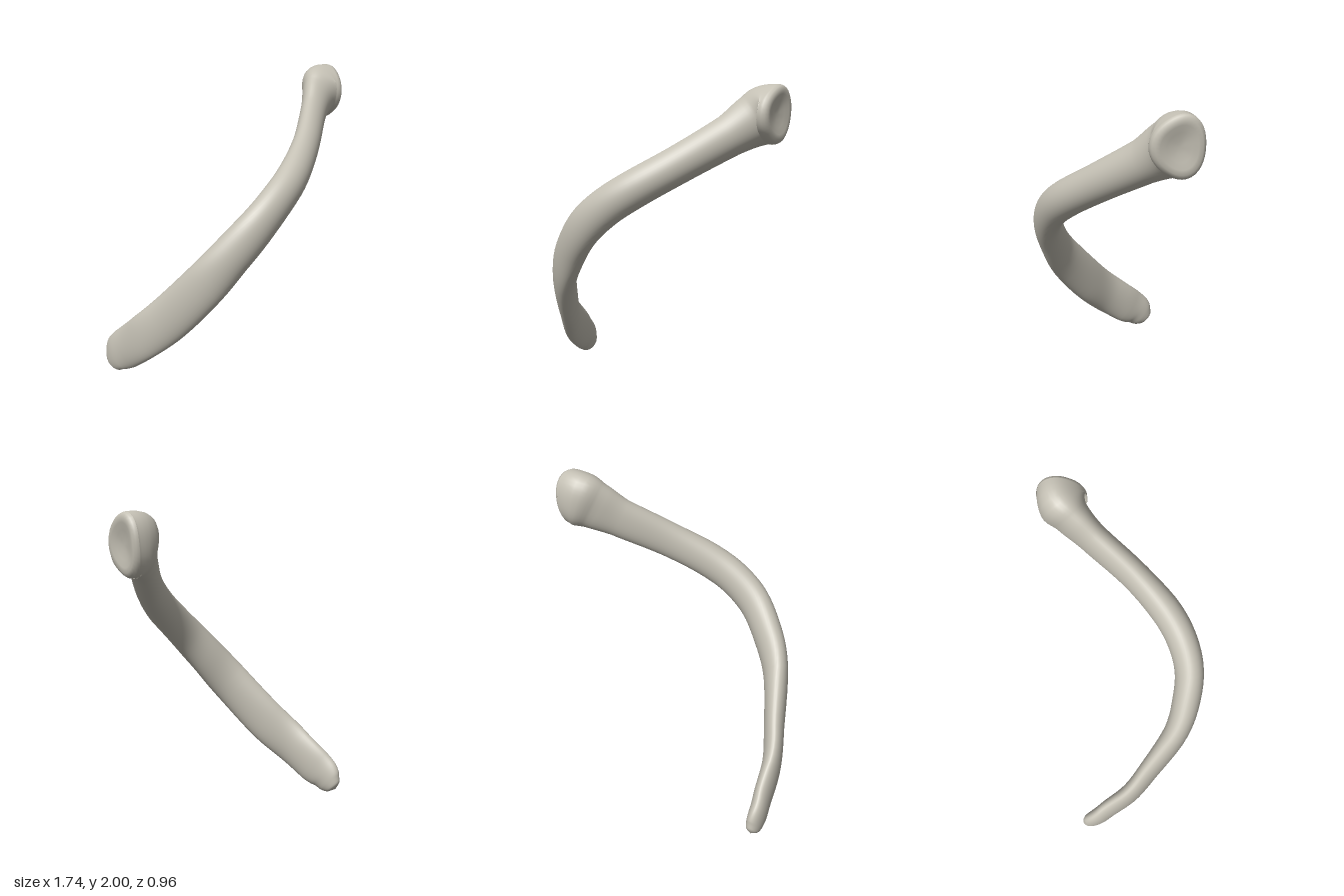
import * as THREE from 'three';
import { mergeVertices } from 'three/addons/utils/BufferGeometryUtils.js';

// Stations along the bone: centre x, y, z, half depth, half height
const STATIONS = [
  [-0.842, 0.035, -0.370, 0, 0],
  [-0.838, 0.050, -0.355, 0.038, 0.062],
  [-0.830, 0.080, -0.322, 0.050, 0.100],
  [-0.815, 0.130, -0.275, 0.056, 0.125],
  [-0.780, 0.190, -0.200, 0.058, 0.140],
  [-0.705, 0.325, -0.040, 0.062, 0.146],
  [-0.590, 0.480, 0.100, 0.067, 0.150],
  [-0.400, 0.770, 0.300, 0.083, 0.142],
  [-0.250, 0.960, 0.368, 0.092, 0.132],
  [-0.100, 1.120, 0.392, 0.094, 0.126],
  [0.050, 1.250, 0.357, 0.096, 0.122],
  [0.200, 1.360, 0.275, 0.097, 0.120],
  [0.400, 1.510, 0.090, 0.087, 0.118],
  [0.600, 1.685, -0.160, 0.086, 0.130],
  [0.700, 1.775, -0.275, 0.108, 0.162],
  [0.765, 1.813, -0.323, 0.150, 0.182],
  [0.820, 1.815, -0.330, 0.150, 0.178],
];
// Shallow socket at the upper end: ring scale, forward offset
const SOCKET = [[0.95, 0.018], [0.84, 0.030], [0.68, 0.028], [0.45, 0.018], [0.2, 0.012], [0, 0.01]];
const SIDES = 40;
const STEPS = (STATIONS.length - 1) * 5;

function buildBone() {
  const path = new THREE.CatmullRomCurve3(STATIONS.map(([x, y, z]) => new THREE.Vector3(x, y, z)));
  const sizes = new THREE.CatmullRomCurve3(STATIONS.map((s) => new THREE.Vector3(s[3], s[4], 0)));
  const up = new THREE.Vector3(0, 1, 0);
  const positions = [];

  function addRing(t, scale, offset, lip) {
    const c = path.getPoint(t);
    const size = sizes.getPoint(t);
    const dir = path.getTangent(t);
    const side = new THREE.Vector3().crossVectors(dir, up).normalize();
    const rise = new THREE.Vector3().crossVectors(side, dir);
    // the section grows slightly three-cornered towards the upper end
    const ridge = 0.055 * THREE.MathUtils.smoothstep(t, 0.55, 0.9);
    for (let j = 0; j < SIDES; j++) {
      const a = (j / SIDES) * Math.PI * 2;
      const r = scale * (1 + ridge * Math.cos(3 * a));
      const p = c.clone()
        .addScaledVector(side, Math.cos(a) * size.x * r)
        .addScaledVector(rise, Math.sin(a) * size.y * r)
        .addScaledVector(dir, offset + lip * scale * (Math.sin(a) - Math.cos(a)));
      positions.push(p.x, p.y, p.z);
    }
  }

  for (let i = 0; i <= STEPS; i++) {
    const t = i / STEPS;
    addRing(t, 1, 0, 0.018 * THREE.MathUtils.smoothstep(t, 0.92, 1));
  }
  for (const [scale, offset] of SOCKET) addRing(1, scale, offset, 0.018);

  // Skin the rings
  const index = [];
  const rings = positions.length / 3 / SIDES;
  for (let i = 0; i < rings - 1; i++) {
    for (let j = 0; j < SIDES; j++) {
      const a = i * SIDES + j;
      const b = i * SIDES + ((j + 1) % SIDES);
      index.push(a, a + SIDES, b, b, a + SIDES, b + SIDES);
    }
  }
  let geometry = new THREE.BufferGeometry();
  geometry.setAttribute('position', new THREE.Float32BufferAttribute(positions, 3));
  geometry.setIndex(index);
  geometry = mergeVertices(geometry, 1e-5);
  geometry.computeVertexNormals();
  return geometry;
}

export function createModel() {
  const boneMaterial = new THREE.MeshStandardMaterial({ color: 0xc4c0b4 });
  boneMaterial.name = 'bone grey';
  const bone = new THREE.Mesh(buildBone(), boneMaterial);
  bone.name = 'collarbone';
  const group = new THREE.Group();
  group.name = 'collarboneModel';
  group.add(bone);
  return group;
}
